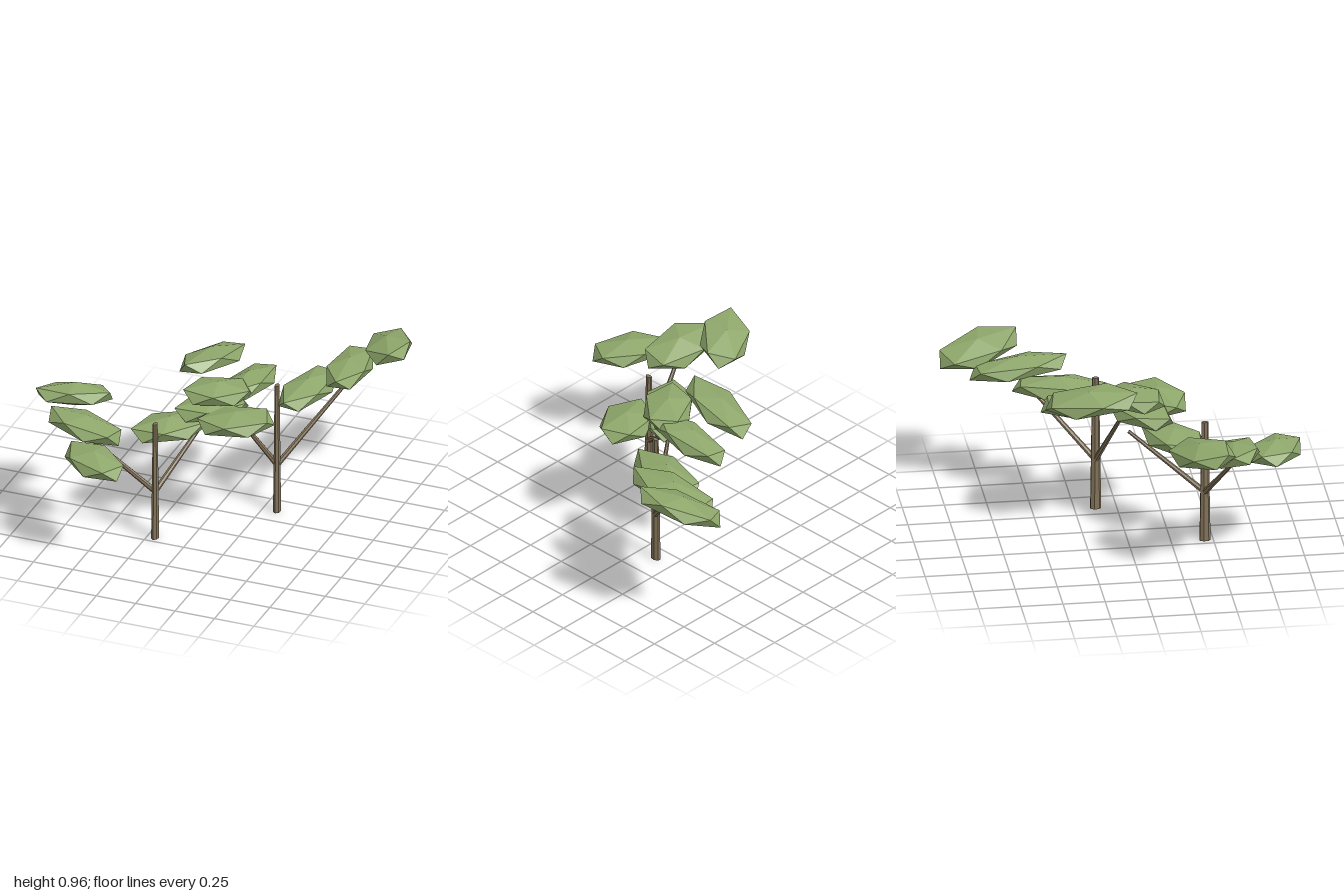
import * as THREE from 'three';

const bark = new THREE.MeshStandardMaterial({ color: 0x84745a, flatShading: true });
bark.name = 'bark brown';
const leaf = new THREE.MeshStandardMaterial({ color: 0x8ea76b, flatShading: true });
leaf.name = 'leaf green';

// Tapered stick between two points
function stick(name, from, to, r0, r1) {
  const a = new THREE.Vector3(...from), b = new THREE.Vector3(...to);
  const dir = b.clone().sub(a);
  const mesh = new THREE.Mesh(new THREE.CylinderGeometry(r1, r0, dir.length(), 7), bark);
  mesh.position.copy(a).add(b).multiplyScalar(0.5);
  mesh.quaternion.setFromUnitVectors(new THREE.Vector3(0, 1, 0), dir.normalize());
  mesh.name = name;
  return mesh;
}

// Icosahedron standing on a corner: two five-sided rings between two poles
const padShape = new THREE.IcosahedronGeometry(1);
padShape.rotateZ(-Math.atan(2 / (1 + Math.sqrt(5))));

// Flattened faceted foliage pad stretched from one end to the other, rolled about its length
function pad(from, to, width, roll = 0) {
  const a = new THREE.Vector3(...from), b = new THREE.Vector3(...to);
  const x = a.clone().sub(b), length = x.length();
  x.normalize();
  const z = new THREE.Vector3().crossVectors(x, new THREE.Vector3(0, 1, 0)).normalize();
  const y = new THREE.Vector3().crossVectors(z, x);
  const mesh = new THREE.Mesh(padShape, leaf);
  mesh.scale.set(length / 2 / 0.894, 0.07, width / 2 / 0.85);
  mesh.quaternion.setFromRotationMatrix(new THREE.Matrix4().makeBasis(x, y, z));
  mesh.rotateX(roll);
  mesh.position.copy(a).add(b).multiplyScalar(0.5);
  mesh.name = 'foliagePad';
  return mesh;
}

const trees = [
  {
    name: 'frontTree', base: [-0.2, 0.45], height: 0.76,
    branches: [[-0.59, 0.67, 0.575], [-0.03, 0.65, 0.02]],
    pads: [
      [[-0.62, 0.67, 0.73], [-0.24, 0.645, 0.95], 0.26],
      [[-0.83, 0.765, 0.54], [-0.36, 0.69, 0.61], 0.28, 0.15],
      [[-0.94, 0.84, 0.5], [-0.56, 0.77, 0.22], 0.27, 0.2],
      [[-0.37, 0.64, 0.41], [0.01, 0.67, 0.13], 0.27],
      [[-0.16, 0.74, 0.25], [0.19, 0.74, -0.05], 0.25],
      [[-0.17, 0.93, 0.06], [-0.04, 0.85, -0.48], 0.26, 0.2],
    ],
  },
  {
    name: 'backTree', base: [0.34, -0.125], height: 0.84,
    branches: [[0.1, 0.69, 0], [0.65, 0.76, -0.55]],
    pads: [
      [[0.01, 0.735, 0.31], [0.43, 0.755, 0.14], 0.29],
      [[-0.13, 0.84, 0.19], [0.21, 0.82, -0.06], 0.27],
      [[0.12, 0.81, 0.07], [0.15, 0.75, -0.48], 0.23, 0.15],
      [[0.41, 0.74, -0.05], [0.5, 0.74, -0.6], 0.23],
      [[0.66, 0.83, -0.25], [0.6, 0.78, -0.84], 0.23],
      [[0.89, 0.92, -0.52], [0.69, 0.82, -1], 0.27, 0.2],
    ],
  },
];

export function createModel() {
  const model = new THREE.Group();
  model.name = 'flatTopTrees';
  for (const t of trees) {
    const tree = new THREE.Group();
    tree.name = t.name;
    const [x, z] = t.base;
    // Trunk, narrower across x than along z
    const trunk = stick('trunk', [x, 0, z], [x, t.height, z], 0.034, 0.021);
    trunk.scale.x = 0.66;
    tree.add(trunk);
    for (const end of t.branches) tree.add(stick('branch', [x, 0.31, z], end, 0.018, 0.011));
    for (const args of t.pads) tree.add(pad(...args));
    model.add(tree);
  }
  return model;
}
